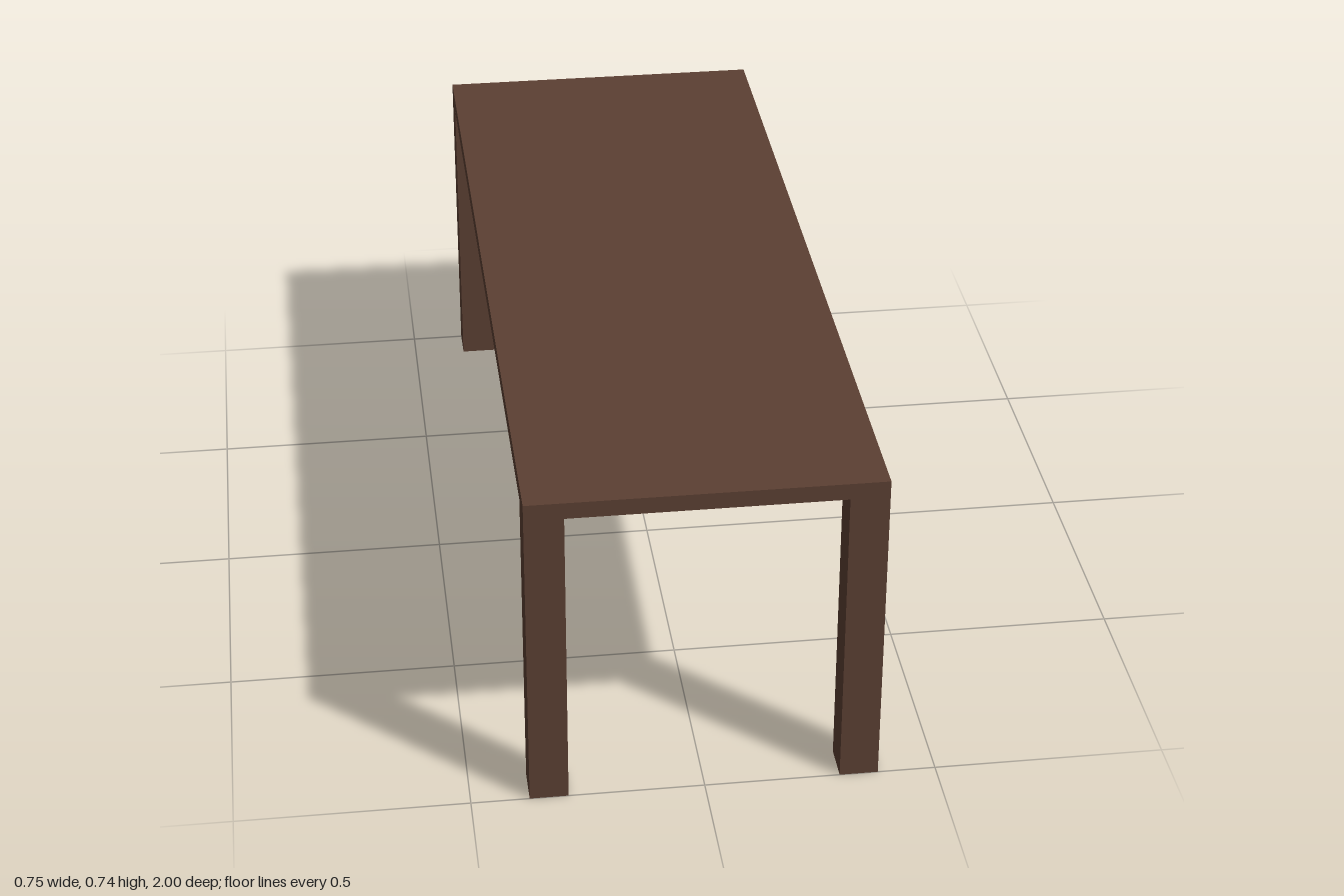
import * as THREE from 'three';

const WIDTH = 0.75, LENGTH = 2, HEIGHT = 0.737;
const TOP = 0.037; // tabletop thickness
const LEG = 0.083; // square leg side

export function createModel() {
  const table = new THREE.Group();
  table.name = 'table';

  const wood = new THREE.MeshStandardMaterial({ color: 0x5c4033 });
  wood.name = 'dark brown wood';

  // Tabletop slab
  const top = new THREE.Mesh(new THREE.BoxGeometry(WIDTH, TOP, LENGTH), wood);
  top.name = 'tabletop';
  top.position.y = HEIGHT - TOP / 2;
  table.add(top);

  // Four square legs, flush with the corners
  const legHeight = HEIGHT - TOP;
  const legGeometry = new THREE.BoxGeometry(LEG, legHeight, LEG);
  for (const [sx, side] of [[1, 'Left'], [-1, 'Right']]) {
    for (const [sz, end] of [[1, 'front'], [-1, 'back']]) {
      const leg = new THREE.Mesh(legGeometry, wood);
      leg.name = `${end}${side}Leg`;
      leg.position.set(sx * (WIDTH - LEG) / 2, legHeight / 2, sz * (LENGTH - LEG) / 2);
      table.add(leg);
    }
  }
  return table;
}
